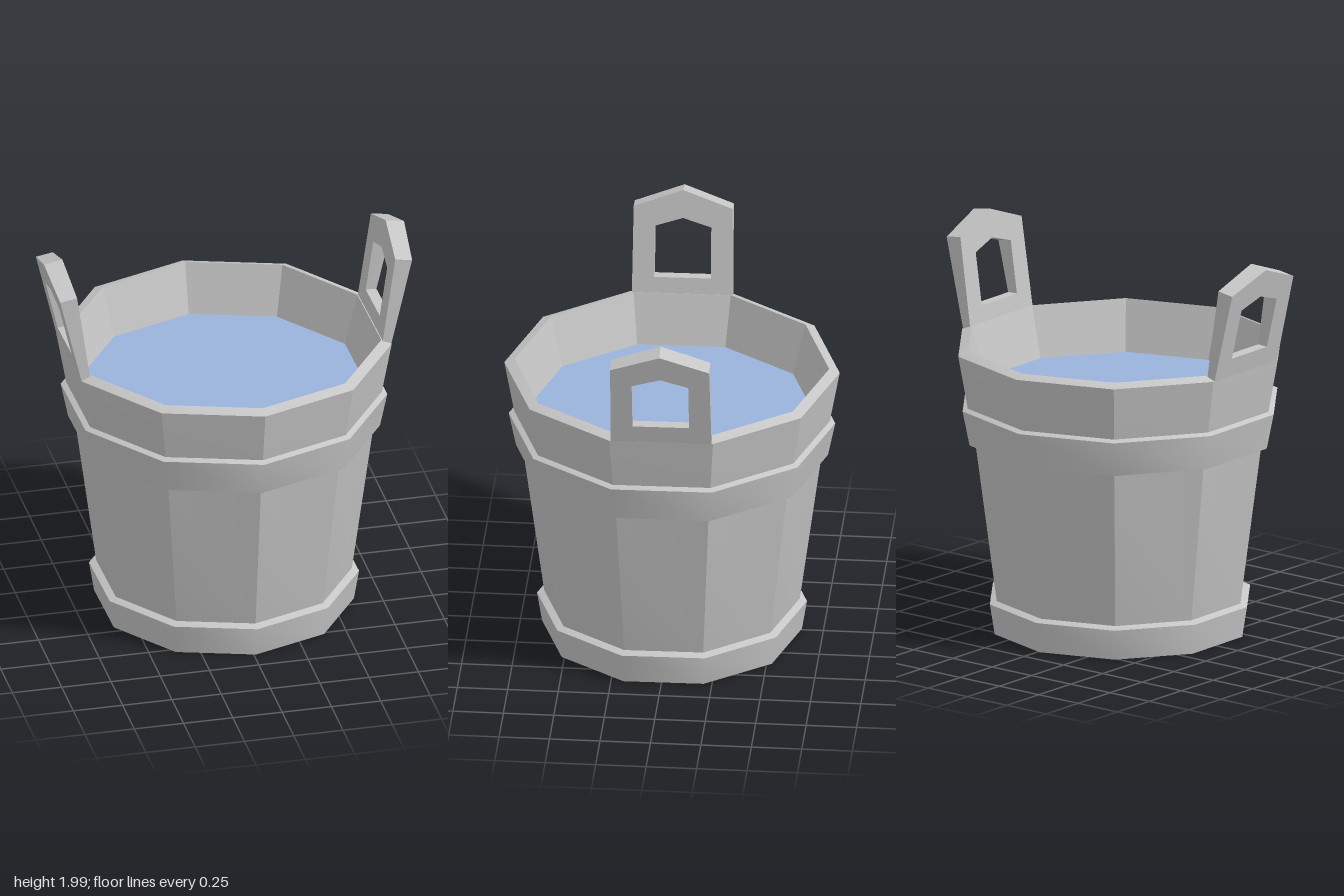
import * as THREE from 'three';
import { toCreasedNormals } from 'three/addons/utils/BufferGeometryUtils.js';

const SIDES = 10;

const grey = new THREE.MeshStandardMaterial({ color: 0xc6c6c6 });
grey.name = 'greyWood';
const blue = new THREE.MeshStandardMaterial({ color: 0x9ab3dc });
blue.name = 'waterBlue';

// Ten-sided turned part; neighbouring sides are blended only if crease exceeds 36 degrees
function turned(name, profile, material, creaseDegrees) {
  const lathe = new THREE.LatheGeometry(profile.map(([r, y]) => new THREE.Vector2(r, y)), SIDES);
  const geometry = toCreasedNormals(lathe, THREE.MathUtils.degToRad(creaseDegrees));
  const mesh = new THREE.Mesh(geometry, material);
  mesh.name = name;
  return mesh;
}

// Tall stave with a gabled top and a gabled hand hole, leaning outward and thickening upward
function handleGeometry() {
  const base = 1.42;
  const shape = new THREE.Shape([
    [-0.25, base], [0.25, base], [0.245, 1.91], [0, 2.0], [-0.245, 1.91],
  ].map(([x, y]) => new THREE.Vector2(x, y)));
  shape.holes.push(new THREE.Path([
    [-0.14, 1.545], [-0.14, 1.81], [0, 1.855], [0.14, 1.81], [0.14, 1.545],
  ].map(([x, y]) => new THREE.Vector2(x, y))));

  const geometry = new THREE.ExtrudeGeometry(shape, { depth: 1, bevelEnabled: false });
  geometry.rotateY(Math.PI / 2);
  const p = geometry.attributes.position;
  for (let i = 0; i < p.count; i++) {
    const t = p.getX(i); // 0 on the inner face, 1 on the outer face
    const rise = p.getY(i) - 1.44;
    p.setX(i, THREE.MathUtils.lerp(0.742 + 0.145 * rise, 0.788 + 0.23 * rise, t));
    p.setY(i, p.getY(i) - t * 0.03 * Math.max(0, rise));
  }
  geometry.computeVertexNormals();
  return geometry;
}

export function createModel() {
  const bucket = new THREE.Group();
  bucket.name = 'bucket';

  // Staves: recessed floor, outer wall, sloping rim and inner wall down to the water
  bucket.add(turned('staves', [
    [0, 0.06], [0.6, 0.06], [0.633, 0.18], [0.74, 0.98], [0.782, 1.18],
    [0.83, 1.445], [0.778, 1.465], [0.703, 1.2],
  ], grey, 20));

  // Hoops
  bucket.add(turned('bottomHoop', [
    [0.605, 0.08], [0.595, 0.012], [0.643, 0.008], [0.668, 0.163], [0.63, 0.178], [0.605, 0.08],
  ], grey, 40));
  bucket.add(turned('upperHoop', [
    [0.73, 0.99], [0.772, 0.985], [0.808, 1.162], [0.775, 1.177], [0.73, 0.99],
  ], grey, 40));

  // Water surface
  bucket.add(turned('water', [[0.708, 1.21], [0, 1.21]], blue, 40));

  // Pair of handles
  const geometry = handleGeometry();
  ['leftHandle', 'rightHandle'].forEach((name, i) => {
    const handle = new THREE.Mesh(geometry, grey);
    handle.name = name;
    handle.rotation.y = i * Math.PI;
    bucket.add(handle);
  });

  // Slight turn about the vertical axis
  bucket.rotation.y = 0.017;

  const model = new THREE.Group();
  model.name = 'waterBucket';
  model.add(bucket);
  return model;
}
